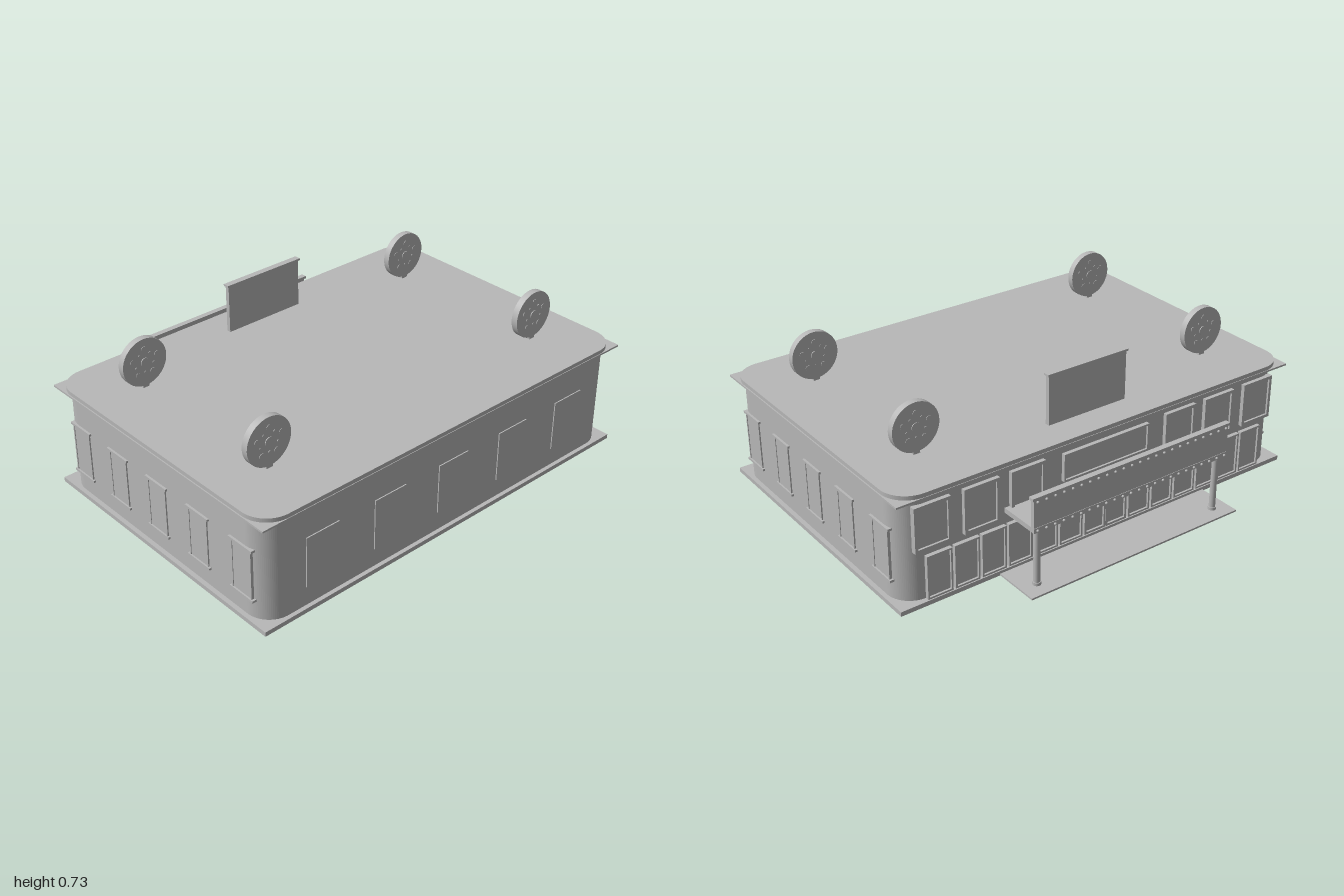
import * as THREE from 'three';

const wallGrey = new THREE.MeshStandardMaterial({ color: 0xb8b8b8 });

export function createModel() {
  const model = new THREE.Group();
  model.name = 'building';

  const add = (name, geometry, x = 0, y = 0, z = 0, parent = model) => {
    const mesh = new THREE.Mesh(geometry, wallGrey);
    mesh.name = name;
    mesh.position.set(x, y, z);
    parent.add(mesh);
    return mesh;
  };
  // Box given by its lower and upper limits on each axis
  const box = (name, x0, x1, y0, y1, z0, z1, parent = model) =>
    add(name, new THREE.BoxGeometry(x1 - x0, y1 - y0, z1 - z0),
      (x0 + x1) / 2, (y0 + y1) / 2, (z0 + z1) / 2, parent);
  // Upright slab with rounded plan corners
  const roundedSlab = (name, w, d, r, y0, y1, zMid) => {
    const a = w / 2 - r, b = d / 2 - r;
    const s = new THREE.Shape();
    s.absarc(a, b, r, 0, Math.PI / 2);
    s.absarc(-a, b, r, Math.PI / 2, Math.PI);
    s.absarc(-a, -b, r, Math.PI, Math.PI * 1.5);
    s.absarc(a, -b, r, Math.PI * 1.5, Math.PI * 2);
    s.closePath();
    const g = new THREE.ExtrudeGeometry(s, { depth: y1 - y0, bevelEnabled: false, curveSegments: 12 });
    g.rotateX(-Math.PI / 2);
    return add(name, g, 0, y0, zMid);
  };

  // Main shell
  box('basePlinth', -1, 1, 0, 0.02, -0.57, 0.775);
  roundedSlab('walls', 1.96, 1.304, 0.11, 0.02, 0.476, 0.105);
  box('eavesPlate', -1, 1, 0.474, 0.482, -0.57, 0.775);
  roundedSlab('roof', 1.99, 1.34, 0.12, 0.482, 0.5, 0.1025);

  // Side windows with heads and sills
  for (const side of [-1, 1]) {
    for (const z of [0.625, 0.365, 0.105, -0.155, -0.415]) {
      const w = new THREE.Group();
      w.name = 'sideWindow';
      w.position.set(side * 0.97, 0, z);
      model.add(w);
      add('pane', new THREE.BoxGeometry(0.026, 0.23, 0.115), 0, 0.22, 0, w);
      for (const y of [0.105, 0.335])
        add('windowTrim', new THREE.BoxGeometry(0.04, 0.01, 0.135), 0, y, 0, w);
      for (const dz of [-0.054, 0.054])
        add('windowJamb', new THREE.BoxGeometry(0.032, 0.23, 0.007), 0, 0.22, dz, w);
    }
  }

  // Shallow panels on the front wall
  for (const x of [-0.7, -0.35, 0, 0.35, 0.7])
    box('frontPanel', x - 0.083, x + 0.083, 0.105, 0.335, 0.74, 0.762);

  // Framed panel on the back wall
  const framed = (name, x, w, y0, y1, t) => {
    const g = new THREE.Group();
    g.name = name;
    model.add(g);
    const l = x - w / 2, r = x + w / 2, zf = -0.565;
    box('panel', l, r, y0, y1, -0.556, -0.54, g);
    box('frameLeft', r - t, r, y0, y1, zf, -0.545, g);
    box('frameRight', l, l + t, y0, y1, zf, -0.545, g);
    box('frameTop', l, r, y1 - t, y1, zf, -0.545, g);
    box('frameBottom', l, r, y0, y0 + t, zf, -0.545, g);
  };
  for (const s of [-1, 1]) {
    for (const x of [0.84, 0.615, 0.395]) framed('upperWindow', s * x, 0.165, 0.245, 0.445, 0.014);
    for (const x of [0.815, 0.688, 0.561, 0.434, 0.307, 0.18])
      framed('lowerWindow', s * x, 0.116, 0.02, 0.215, 0.008);
    framed('door', s * 0.056, 0.11, 0.02, 0.215, 0.01);
  }
  framed('centreBoard', 0, 0.44, 0.31, 0.435, 0.008);

  // Porch with canopy, parapet, posts and rows of bulbs
  box('porchFloor', -0.54, 0.54, 0, 0.008, -0.78, -0.56);
  box('canopy', -0.5, 0.5, 0.265, 0.287, -0.738, -0.54);
  box('parapet', -0.5, 0.5, 0.265, 0.412, -0.736, -0.718);
  box('parapetCap', -0.507, 0.507, 0.41, 0.422, -0.74, -0.714);
  const bulb = new THREE.SphereGeometry(0.006, 10, 8);
  for (let i = 0; i < 24; i++)
    for (const y of [0.275, 0.402]) add('bulb', bulb, -0.484 + i * 0.0421, y, -0.741);
  for (const s of [-1, 1]) {
    add('post', new THREE.CylinderGeometry(0.014, 0.014, 0.26, 20), s * 0.465, 0.136, -0.71);
    for (const y of [0.014, 0.258])
      add('postCollar', new THREE.CylinderGeometry(0.018, 0.018, 0.014, 20), s * 0.465, y, -0.71);
  }

  // Rooftop board
  box('roofBoard', -0.197, 0.197, 0.5, 0.725, -0.43, -0.41);
  box('roofBoardCap', -0.204, 0.204, 0.719, 0.728, -0.434, -0.405);

  // Rooftop discs with hub and bosses on both faces
  const turned = (r, depth) => new THREE.CylinderGeometry(r, r, depth, 40).rotateX(Math.PI / 2);
  const disc = turned(0.107, 0.03), hub = turned(0.02, 0.037);
  const boss = turned(0.012, 0.034), stud = turned(0.005, 0.035);
  for (const x of [-0.74, 0.74]) {
    for (const z of [-0.292, 0.491]) {
      const g = new THREE.Group();
      g.name = 'roofDisc';
      g.position.set(x, 0.616, z);
      model.add(g);
      add('disc', disc, 0, 0, 0, g);
      add('hub', hub, 0, 0, 0, g);
      for (let i = 0; i < 5; i++) {
        const a = Math.PI / 2 + i * Math.PI * 0.4, b = a + Math.PI / 5;
        add('boss', boss, 0.062 * Math.cos(a), 0.062 * Math.sin(a), 0, g);
        add('stud', stud, 0.045 * Math.cos(b), 0.045 * Math.sin(b), 0, g);
      }
      add('stand', new THREE.BoxGeometry(0.03, 0.016, 0.03), 0, -0.109, 0, g);
    }
  }
  return model;
}
